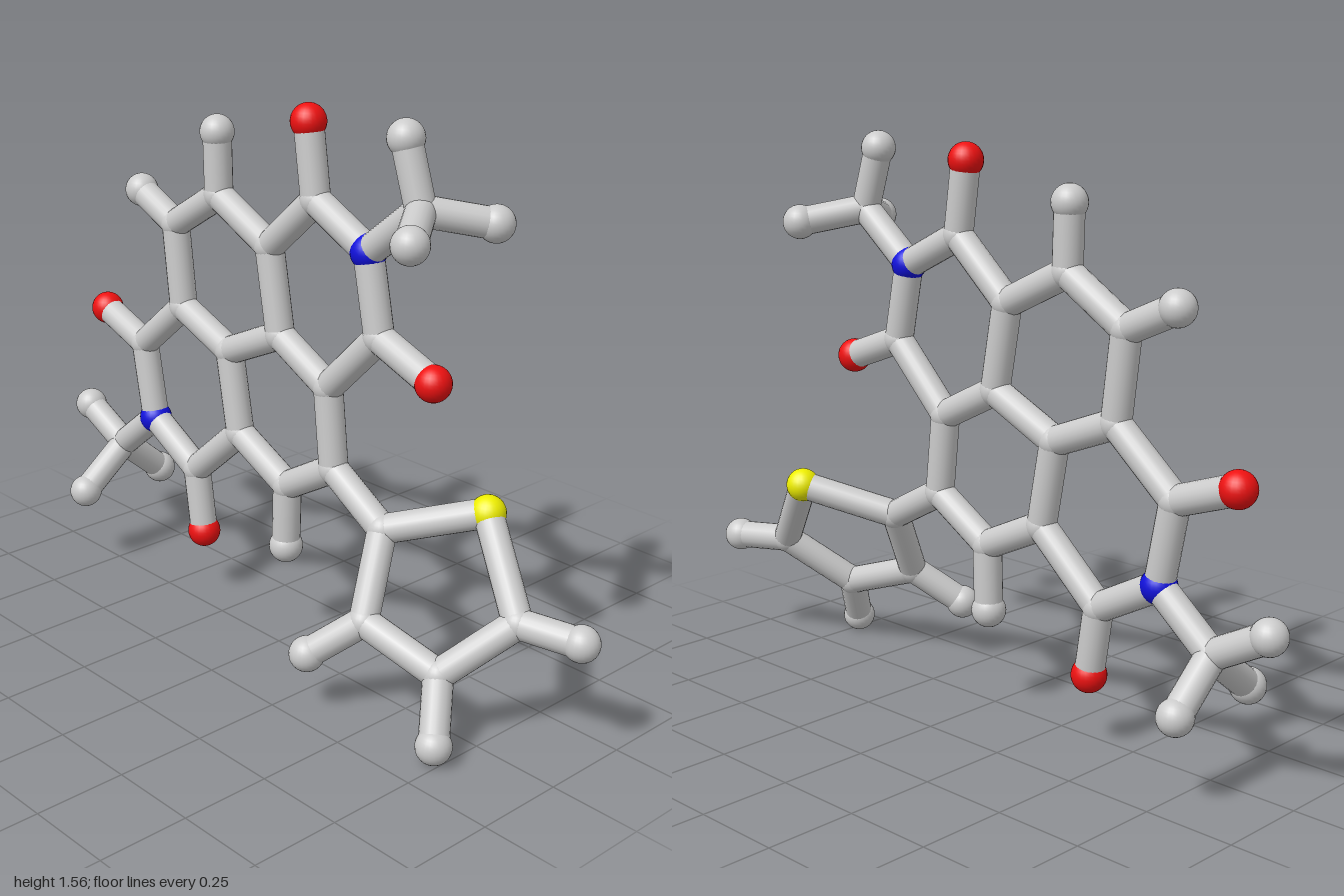
import * as THREE from 'three';

const BOND_R = 0.04;
const BALL_R = 0.048;
const JOINT_R = 0.043;

// The flat core lies in a slightly turned plane.
const coreZ = (x) => -0.04 + 0.03 * x;

// name: [x, y, z]; z is left out for atoms in the core plane
const ATOMS = {
  // upper imide ring
  oxygenA: [0.07, 1.5], carbonA: [0.1, 1.3], nitrogenA: [0.3, 1.205],
  carbonB: [0.345, 0.99], oxygenB: [0.54, 0.92],
  // fused core
  core1: [0.155, 0.805], core2: [-0.04, 0.9], core3: [-0.085, 1.14],
  core4: [-0.3, 1.24], core5: [-0.5, 1.12], core6: [-0.47, 0.88],
  core7: [-0.26, 0.8], core8: [-0.215, 0.565], core9: [-0.01, 0.47],
  core10: [0.18, 0.58],
  hydrogenA: [-0.305, 1.415], hydrogenB: [-0.66, 1.19], hydrogenC: [-0.015, 0.285],
  // lower imide ring
  carbonC: [-0.665, 0.72], oxygenC: [-0.855, 0.785], nitrogenB: [-0.62, 0.495],
  carbonD: [-0.42, 0.39], oxygenD: [-0.39, 0.2],
  // methyl groups
  methylA: [0.48, 1.345], hydrogenD: [0.43, 1.515, -0.02],
  hydrogenE: [0.595, 1.31, 0.13], hydrogenF: [0.595, 1.31, -0.17],
  methylB: [-0.79, 0.36], hydrogenG: [-0.953, 0.445, -0.06],
  hydrogenH: [-0.79, 0.24, 0.09], hydrogenI: [-0.79, 0.24, -0.2],
  // tilted five-sided ring
  ring1: [0.38, 0.475, -0.02], sulfur: [0.605, 0.55, -0.175],
  ring2: [0.79, 0.335, -0.09], ring3: [0.665, 0.195, 0.06], ring4: [0.437, 0.27, 0.1],
  hydrogenJ: [0.952, 0.325, -0.14], hydrogenK: [0.73, 0.05, 0.14],
  hydrogenL: [0.33, 0.17, 0.2],
};

// Each line is a chain of joined atoms.
const CHAINS = [
  'core3 carbonA nitrogenA carbonB core1 core2 core3 core4 core5 core6 core7 core2',
  'core7 core8 core9 core10 core1',
  'core6 carbonC nitrogenB carbonD core8',
  'carbonA oxygenA', 'carbonB oxygenB', 'carbonC oxygenC', 'carbonD oxygenD',
  'core4 hydrogenA', 'core5 hydrogenB', 'core9 hydrogenC',
  'nitrogenA methylA hydrogenD', 'hydrogenE methylA hydrogenF',
  'nitrogenB methylB hydrogenG', 'hydrogenH methylB hydrogenI',
  'core10 ring1 sulfur ring2 ring3 ring4 ring1',
  'ring2 hydrogenJ', 'ring3 hydrogenK', 'ring4 hydrogenL',
];

export function createModel() {
  const model = new THREE.Group();
  model.name = 'molecule';
  const paint = (color) => new THREE.MeshStandardMaterial({ color });
  const grey = paint(0xcccccc);
  const colours = { oxygen: paint(0xee1111), nitrogen: paint(0x1111dd), sulfur: paint(0xeeee00) };
  const ball = new THREE.SphereGeometry(BALL_R, 24, 16);
  const joint = new THREE.SphereGeometry(JOINT_R, 24, 16);
  const up = new THREE.Vector3(0, 1, 0);

  // Atoms: full balls at coloured atoms and tips, smaller ones at grey joints
  const points = {};
  for (const [name, [x, y, z = coreZ(x)]] of Object.entries(ATOMS)) {
    points[name] = new THREE.Vector3(x, y, z);
    const kind = name.replace(/[A-Z0-9]+$/, '');
    const isBall = kind in colours || kind === 'hydrogen';
    const atom = new THREE.Mesh(isBall ? ball : joint, colours[kind] ?? grey);
    atom.name = name;
    atom.position.copy(points[name]);
    model.add(atom);
  }

  // Bonds: one rod between each pair of neighbours in a chain
  for (const chain of CHAINS) {
    const names = chain.split(' ');
    for (let i = 1; i < names.length; i++) {
      const a = points[names[i - 1]];
      const b = points[names[i]];
      const along = b.clone().sub(a);
      const rod = new THREE.Mesh(
        new THREE.CylinderGeometry(BOND_R, BOND_R, along.length(), 20, 1, true), grey);
      rod.name = `bond ${names[i - 1]} to ${names[i]}`;
      rod.position.copy(a).add(b).multiplyScalar(0.5);
      rod.quaternion.setFromUnitVectors(up, along.normalize());
      model.add(rod);
    }
  }
  return model;
}
